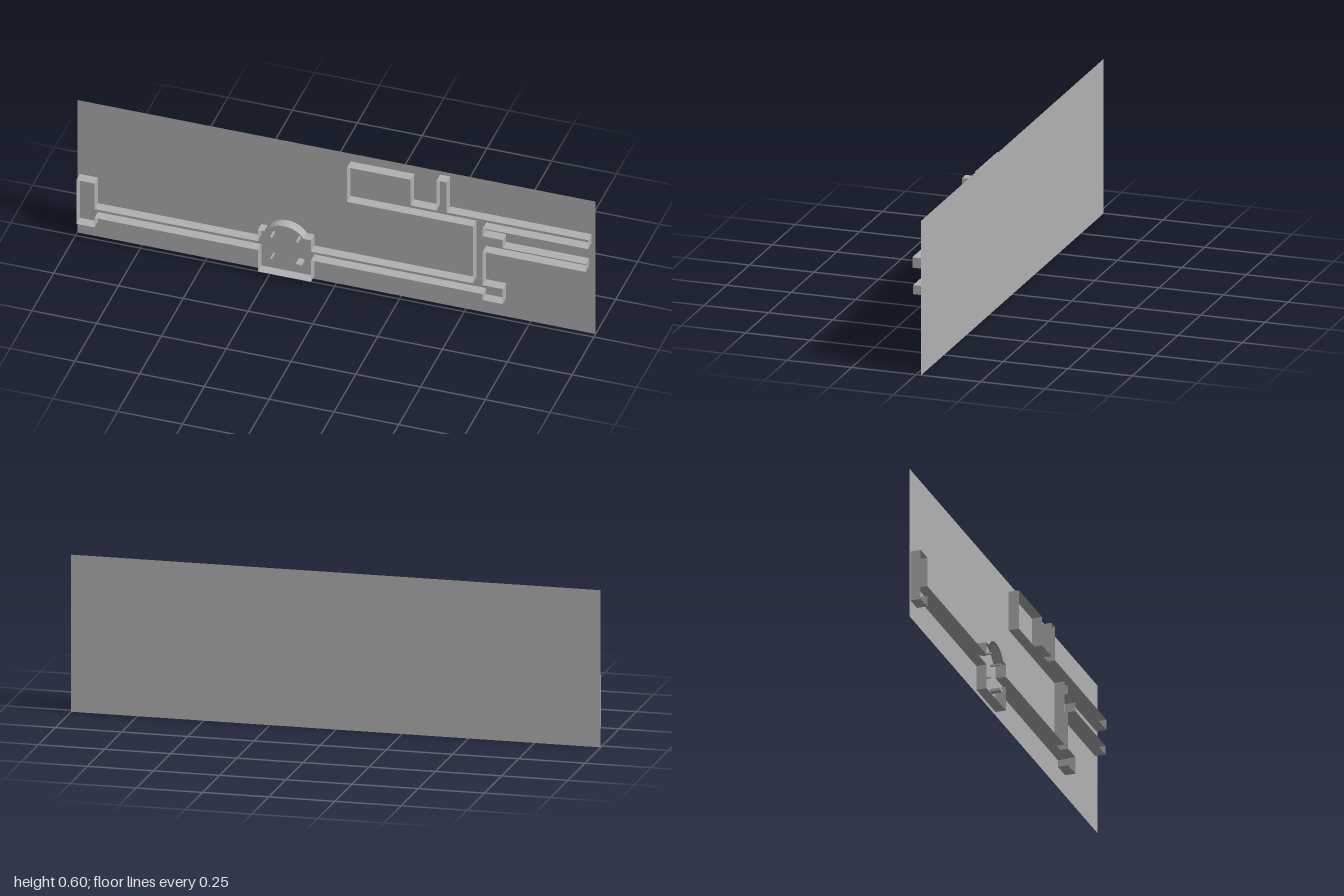
import * as THREE from 'three';
import { mergeGeometries } from 'three/addons/utils/BufferGeometryUtils.js';

const BACK = -0.02, FRONT = 0.02, DEPTH = FRONT - BACK;

// Upright sheet standing on the base between two plan points
function wallPanel(a, b) {
  const g = new THREE.PlaneGeometry(a.distanceTo(b), DEPTH);
  g.rotateX(Math.PI / 2);
  g.rotateZ(Math.atan2(b.y - a.y, b.x - a.x));
  g.translate((a.x + b.x) / 2, (a.y + b.y) / 2, (BACK + FRONT) / 2);
  return g;
}

function wallRun(name, coords, material) {
  const pts = coords.map(([x, y]) => new THREE.Vector2(x, y));
  const panels = pts.slice(1).map((p, i) => wallPanel(pts[i], p));
  const mesh = new THREE.Mesh(mergeGeometries(panels), material);
  mesh.name = name;
  return mesh;
}

export function createModel() {
  const model = new THREE.Group();
  model.name = 'floorPlan';
  const grey = new THREE.MeshStandardMaterial({ color: 0xb2b2b2, side: THREE.DoubleSide });
  grey.name = 'plainGrey';

  // Base sheet
  const base = new THREE.Mesh(new THREE.PlaneGeometry(2, 0.595), grey);
  base.name = 'baseSheet';
  base.position.set(0, 0.2975, BACK);
  model.add(base);

  // Shallow arch over the hall
  const half = 0.076, rise = 0.04, cx = -0.189;
  const radius = (half * half + rise * rise) / (2 * rise);
  const sweep = Math.asin(half / radius);
  const arch = [];
  for (let i = 0; i <= 14; i++) {
    const t = -sweep + (2 * sweep * i) / 14;
    arch.push([cx + radius * Math.sin(t), 0.2 + rise - radius + radius * Math.cos(t)]);
  }

  // Left end room with its corridor
  model.add(wallRun('leftWingWalls', [
    [-0.29, 0.11], [-0.92, 0.11], [-0.92, 0.068], [-0.99, 0.068],
    [-0.99, 0.265], [-0.92, 0.265], [-0.92, 0.15], [-0.29, 0.15],
  ], grey));

  // Central hall
  model.add(wallRun('hallUpperWalls', [
    [-0.29, 0.15], [-0.29, 0.2], ...arch, [-0.085, 0.2], [-0.085, 0.15],
  ], grey));
  model.add(wallRun('hallLowerWalls', [
    [-0.085, 0.11], [-0.085, 0.014], [-0.29, 0.014], [-0.29, 0.11],
  ], grey));

  // Right corridor, upper rooms and side passages
  model.add(wallRun('upperWingWalls', [
    [-0.085, 0.15], [0.54, 0.15], [0.54, 0.405], [0.055, 0.405],
    [0.055, 0.56], [0.3, 0.56], [0.3, 0.445], [0.4, 0.445],
    [0.4, 0.58], [0.438, 0.58], [0.438, 0.445], [0.985, 0.445],
    [0.985, 0.405], [0.578, 0.405],
  ], grey));
  model.add(wallRun('rightWingWalls', [
    [0.578, 0.405], [0.578, 0.37], [0.655, 0.37], [0.655, 0.335],
    [0.975, 0.335], [0.975, 0.3], [0.578, 0.3], [0.578, 0.15],
    [0.655, 0.15], [0.655, 0.083], [0.578, 0.083], [0.578, 0.11],
    [-0.085, 0.11],
  ], grey));

  // Small posts and a block in the hall
  const posts = [
    [-0.24, 0.176, 0.007, 0.007], [-0.14, 0.176, 0.007, 0.007],
    [-0.24, 0.08, 0.005, 0.005], [-0.134, 0.075, 0.022, 0.01],
  ];
  for (const [x, y, w, h] of posts) {
    const post = new THREE.Mesh(new THREE.BoxGeometry(w, h, DEPTH), grey);
    post.name = 'hallPost';
    post.position.set(x, y, (BACK + FRONT) / 2);
    model.add(post);
  }
  return model;
}
